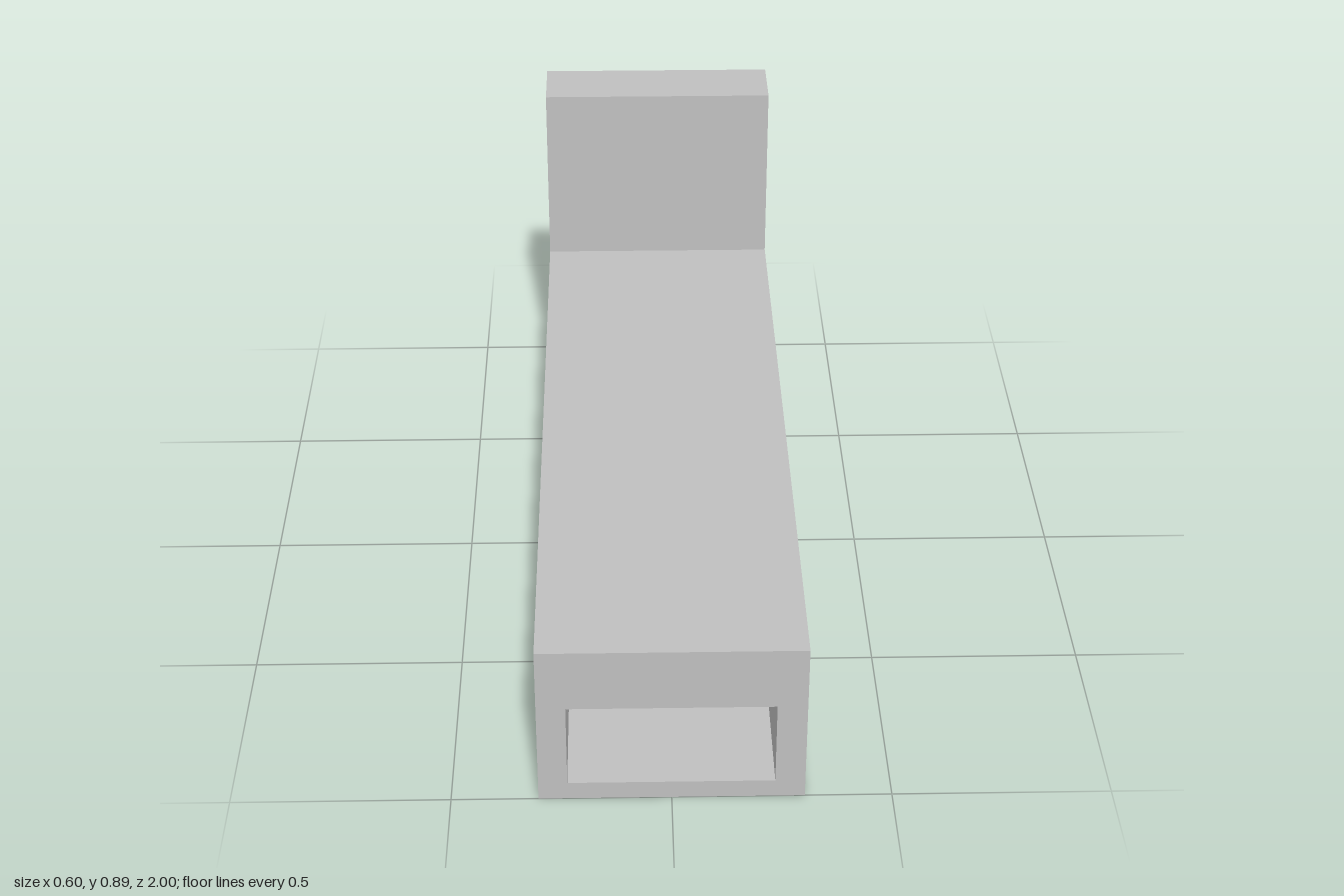
import * as THREE from 'three';

const HALF_WIDTH = 0.302;

function rectangle(PathType, x0, x1, y0, y1) {
  const path = new PathType();
  path.moveTo(x0, y0);
  path.lineTo(x1, y0);
  path.lineTo(x1, y1);
  path.lineTo(x0, y1);
  path.closePath();
  return path;
}

// Block running along z, pierced by the rectangular channel
function channelBlock(name, height, zBack, zFront, material) {
  const shape = rectangle(THREE.Shape, -HALF_WIDTH, HALF_WIDTH, 0, height);
  shape.holes.push(rectangle(THREE.Path, -0.236, 0.234, 0.045, 0.258));
  const geometry = new THREE.ExtrudeGeometry(shape, { depth: zFront - zBack, bevelEnabled: false });
  geometry.translate(0, 0, zBack);
  const mesh = new THREE.Mesh(geometry, material);
  mesh.name = name;
  return mesh;
}

export function createModel() {
  const grey = new THREE.MeshStandardMaterial({ color: 0xc0c0c0 });
  grey.name = 'light grey';

  const model = new THREE.Group();
  model.name = 'hollowBlockWithUpright';
  // Long low body and the tall upright closing its back end
  model.add(channelBlock('body', 0.413, -0.83, 1, grey));
  model.add(channelBlock('backUpright', 0.888, -1, -0.83, grey));
  return model;
}
